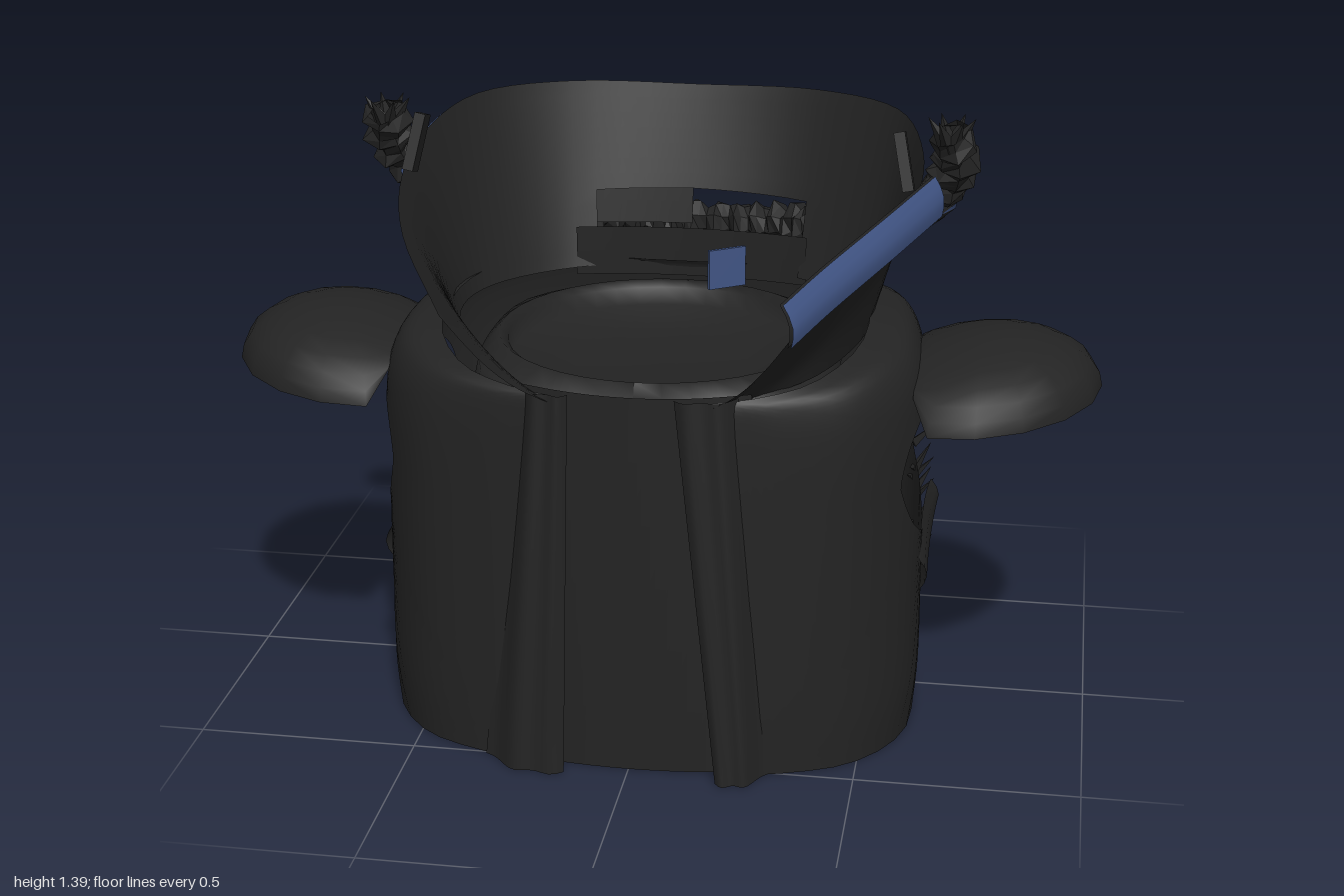
import * as THREE from 'three';
import { mergeVertices } from 'three/addons/utils/BufferGeometryUtils.js';

const V = (x, y, z) => new THREE.Vector3(x, y, z);
const lerp = THREE.MathUtils.lerp;

// Sheet from a rule f(a, b) with a and b in 0..1; skip(i, j) leaves cells open
function sheet(f, na, nb, skip = () => false) {
  const pos = [], idx = [];
  for (let j = 0; j <= nb; j++)
    for (let i = 0; i <= na; i++) pos.push(...f(i / na, j / nb).toArray());
  for (let j = 0; j < nb; j++)
    for (let i = 0; i < na; i++) {
      if (skip(i, j)) continue;
      const a = j * (na + 1) + i, b = a + 1, c = a + na + 1, d = c + 1;
      idx.push(a, b, d, a, d, c);
    }
  let g = new THREE.BufferGeometry();
  g.setAttribute('position', new THREE.Float32BufferAttribute(pos, 3));
  g.setIndex(idx);
  g = mergeVertices(g, 1e-4);
  g.computeVertexNormals();
  return g;
}

const spline = pts => new THREE.CatmullRomCurve3(pts.map(p => V(...p)));

// Half cross-section of the vest from centre back to front edge (x, 0, z)
const section = spline([[0, 0, -.38], [.36, 0, -.365], [.55, 0, -.25], [.605, 0, 0],
  [.6, 0, .25], [.495, 0, .405], [.34, 0, .475], [.22, 0, .5]]);
// Upright profile of the vest (x scale, height, z scale)
const profile = spline([[.985, 0, .95], [1, .12, 1.04], [1, .32, 1], [1, .57, .99],
  [1, .78, .97], [.975, .87, .95], [.92, .925, .93], [.78, .95, .9]]);

function vestPoint(u, v) {
  const s = section.getPoint(u), p = profile.getPoint(v);
  const front = Math.max(0, s.z / .5), back = Math.max(0, -s.z / .38);
  const drop = Math.max(0, (p.y - .6) / .35) * (.08 * front ** 2 + .03 * back);
  return V(s.x * p.x, p.y - drop, s.z * (s.z > 0 ? 1 : p.z) + .025 * front * (1 - p.y));
}

// Rings running from the arm hole out to the edges of one vest half
function vestHalf(sx) {
  const cu = .457, cv = .468;
  return sheet((a, b) => {
    const k = (a % 1) * 4, side = Math.floor(k), t = k - side;
    const [u, v] = [[t, 0], [1, t], [1 - t, 1], [0, 1 - t]][side];
    const w = Math.atan2(v - cv, u - cu), c = Math.cos(w), s = Math.sin(w);
    let r = 1 / (Math.abs(c) ** 2.6 + Math.abs(s) ** 2.6) ** (1 / 2.6);
    if (c > 0) r *= 1 - (s < 0 ? .32 : .16) * Math.abs(c * s);
    const p = vestPoint(lerp(cu + .165 * r * c, u, b), lerp(cv + .115 * r * s, v, b));
    p.x *= sx;
    return p;
  }, 80, 14);
}

export function createModel() {
  const group = new THREE.Group();
  const cloth = new THREE.MeshStandardMaterial({ color: 0x232323, side: THREE.DoubleSide });
  cloth.name = 'black cloth';
  const blue = new THREE.MeshStandardMaterial({ color: 0x415585, side: THREE.DoubleSide });
  blue.name = 'blue lining';
  const rough = cloth.clone();
  rough.flatShading = true;
  rough.name = 'black cloth faceted';
  const add = (name, geo, mat = cloth) => {
    const m = new THREE.Mesh(geo, mat);
    m.name = name;
    group.add(m);
    return m;
  };

  for (const sx of [-1, 1]) {
    const side = sx > 0 ? 'left' : 'right';
    add(side + 'VestHalf', vestHalf(sx));

    // Folded strip along the front opening
    add(side + 'FrontPlacket', sheet((a, b) => {
      const inner = sx > 0 ? lerp(.2, .1, b) : lerp(.14, .13, b);
      const outer = sx > 0 ? lerp(.31, .26, b) : lerp(.33, .25, b);
      const bulge = .022 * Math.sin(a * Math.PI) + .008 * Math.sin(a * Math.PI * 4);
      return V(sx * lerp(inner, outer, a), b * .88, lerp(.567, .52, b) - .06 * a * a + bulge);
    }, 12, 10));

    // Shoulder cap: a half dome, open below and towards the body
    add(side + 'ShoulderCap', sheet((a, b) => {
      const w = a * Math.PI * 2, r = Math.sin(b * Math.PI / 2);
      const c = Math.max(-.14 / .27, r * Math.cos(w)), s = r * Math.sin(w);
      const x = .73 + .27 * c;
      return V(sx * x, .752 + (x - .59) * .08 + .145 * Math.sqrt(Math.max(0, 1 - c * c - s * s)),
        .045 + .3 * s - .03 * c);
    }, 16, 7));

    // Torn flap below the arm hole
    add(side + 'ArmHoleFlap', sheet((a, b) => V(
      sx * (.612 + .02 * Math.sin(b * Math.PI) - .02 * a * (1 - a)),
      lerp(.3, .44, b) + .06 * (2 * a - 1) ** 2 * (.5 - b) + .02 * (1 - a), lerp(-.24, .2, a)), 12, 4));

    // Frayed threads beside the arm hole
    for (let i = 0; i < 10; i++) {
      const spike = add(side + 'Fray', new THREE.ConeGeometry(.014, .08, 3), rough);
      spike.position.set(sx * .59, .2 + i * .037, -.22 - .02 * ((i * 3) % 4));
      spike.rotation.set(-.9 + .2 * (i % 3), 0, -sx * (.5 + .25 * (i % 2)));
    }

    // Small upright tab on the collar
    const tab = add(side + 'CollarTab', new THREE.BoxGeometry(.025, .13, .05));
    tab.position.set(sx * .545, 1.315, .125);
    tab.rotation.set(-.25, 0, sx * .2);
  }

  // Shirt panel behind the front opening
  add('shirtFront', sheet((a, b) => {
    const x = lerp(-.26, .26, a);
    return V(x, b * (.875 + .2 * x * x), .505 - .4 * x * x + .025 * (1 - b));
  }, 12, 6));

  // Shirt neck: a shallow dish with a squared rim
  const neck = new THREE.LatheGeometry(
    [[.41, .81], [.4, .855], [.37, .885], [.35, .87], [.34, .83], [.2, .805], [0, .8]].map(p => new THREE.Vector2(...p)), 40);
  const np = neck.attributes.position;
  for (let i = 0; i < np.count; i++) {
    const x = np.getX(i), z = np.getZ(i), r = Math.hypot(x, z);
    if (r < .38) continue;
    const k = ((x / r) ** 4 + (z / r) ** 4) ** -.2;
    np.setX(i, x * k);
    np.setZ(i, z * k * .95);
  }
  neck.computeVertexNormals();
  add('shirtNeck', neck).position.z = .065;

  // Flared collar, open at the front, lifted off the vest at the back
  const around = half => spline([...half.slice(1).reverse().map(([x, y, z]) => [-x, y, z]), ...half]);
  const low = around([[0, .91, -.36], [.27, .9, -.31], [.44, .9, -.14], [.47, .9, .06],
    [.38, .87, .29], [.24, .85, .42], [.15, .85, .51]]);
  const high = around([[0, 1.32, -.505], [.3, 1.33, -.45], [.5, 1.33, -.29], [.575, 1.29, -.06],
    [.575, 1.24, .15], [.51, 1.18, .4], [.37, 1.09, .655]]);
  const collarPoint = (a, b) => {
    const p = low.getPoint(a).lerp(high.getPoint(a), b);
    const bow = Math.sin(b * Math.PI);
    p.y -= .03 * bow * Math.abs(2 * a - 1);
    p.z += .02 * bow * Math.max(0, p.z);
    return p;
  };
  add('collar', sheet(collarPoint, 60, 12, (i, j) => i >= 26 && i < 35 && j < 5));

  // Blue patch on the outside of the collar, under the right back rim
  add('blueCollarPatch', sheet((a, b) => {
    const p = collarPoint(lerp(.18, .36, a), lerp(.99, .87 + .08 * a, b));
    return V(p.x * 1.014, p.y, p.z < 0 ? p.z * 1.014 : p.z);
  }, 12, 2), blue);

  // Upright band and hanging tab in the gap behind the neck
  add('backNeckBand', sheet((a, b) => {
    const x = lerp(-.27, .29, a);
    return V(x, lerp(.88, 1, b), -.352 + .45 * x * x);
  }, 10, 2));
  add('backTab', sheet((a, b) => {
    const x = lerp(-.26, 0, a);
    return V(x, lerp(.995, 1.1, b), -.41 - .02 * b + .5 * x * x);
  }, 6, 2));

  // Blue lining turned out along the left collar edge, dark on its inner side
  const edge = spline([[.36, 1.125, .72], [.42, 1.155, .58], [.53, 1.2, .33], [.62, 1.228, .08]]);
  const band = inset => sheet((a, b) => {
    const p = edge.getPoint(a);
    const out = .012 * Math.sin(b * Math.PI) + .018 * (.5 - b) - inset;
    return V(p.x + out, p.y + (b - .5) * .088, p.z + .4 * out);
  }, 14, 4);
  add('blueCollarEdge', band(0), blue);
  add('collarEdgeBacking', band(.007));
  const scrap = add('blueScrap', new THREE.BoxGeometry(.085, .085, .008), blue);
  scrap.position.set(.2, 1.155, .44);
  scrap.rotation.y = .6;

  // Knotted cord looping around the back, with blue flecks on its left arm
  const cordPath = around([[0, .92, -.69], [.12, .925, -.68], [.25, .95, -.6], [.37, 1, -.43],
    [.51, 1.08, -.28], [.615, 1.18, -.13], [.65, 1.28, -.04], [.64, 1.355, .02]]);
  const n = 120, sides = 7;
  const cord = new THREE.TubeGeometry(cordPath, n, .052, sides);
  const cp = cord.attributes.position, q = V(0, 0, 0);
  for (let i = 0; i <= n; i++) {
    const c = cordPath.getPointAt(i / n);
    for (let j = 0; j <= sides; j++) {
      const k = i * (sides + 1) + j;
      const bump = [.72, 1.05, .88][i % 3] + .16 * Math.sin(i * 1.7 + (j % sides) * 1.8);
      q.fromBufferAttribute(cp, k).sub(c).multiplyScalar(bump).add(c);
      cp.setXYZ(k, q.x, q.y, q.z);
    }
  }
  cord.computeVertexNormals();
  let start = 0;
  for (let i = 86; i < 114; i += 3) {
    const face = (i * sides + (i * 2) % sides) * 6;
    cord.addGroup(start, face - start, 0);
    cord.addGroup(face, 3, 1);
    start = face + 3;
  }
  cord.addGroup(start, cord.index.count - start, 0);
  add('cord', cord, [rough, blue]);

  // Frayed cord ends
  for (const sx of [-1, 1])
    for (let i = 0; i < 6; i++) {
      const end = add('cordEnd', new THREE.ConeGeometry(.022, .08, 4), rough);
      const w = i * Math.PI / 3;
      end.position.set(sx * .64 + .03 * Math.cos(w), 1.355, .01 + .03 * Math.sin(w));
      end.rotation.set(.6 * Math.sin(w), 0, -.6 * Math.cos(w));
    }

  return group;
}
